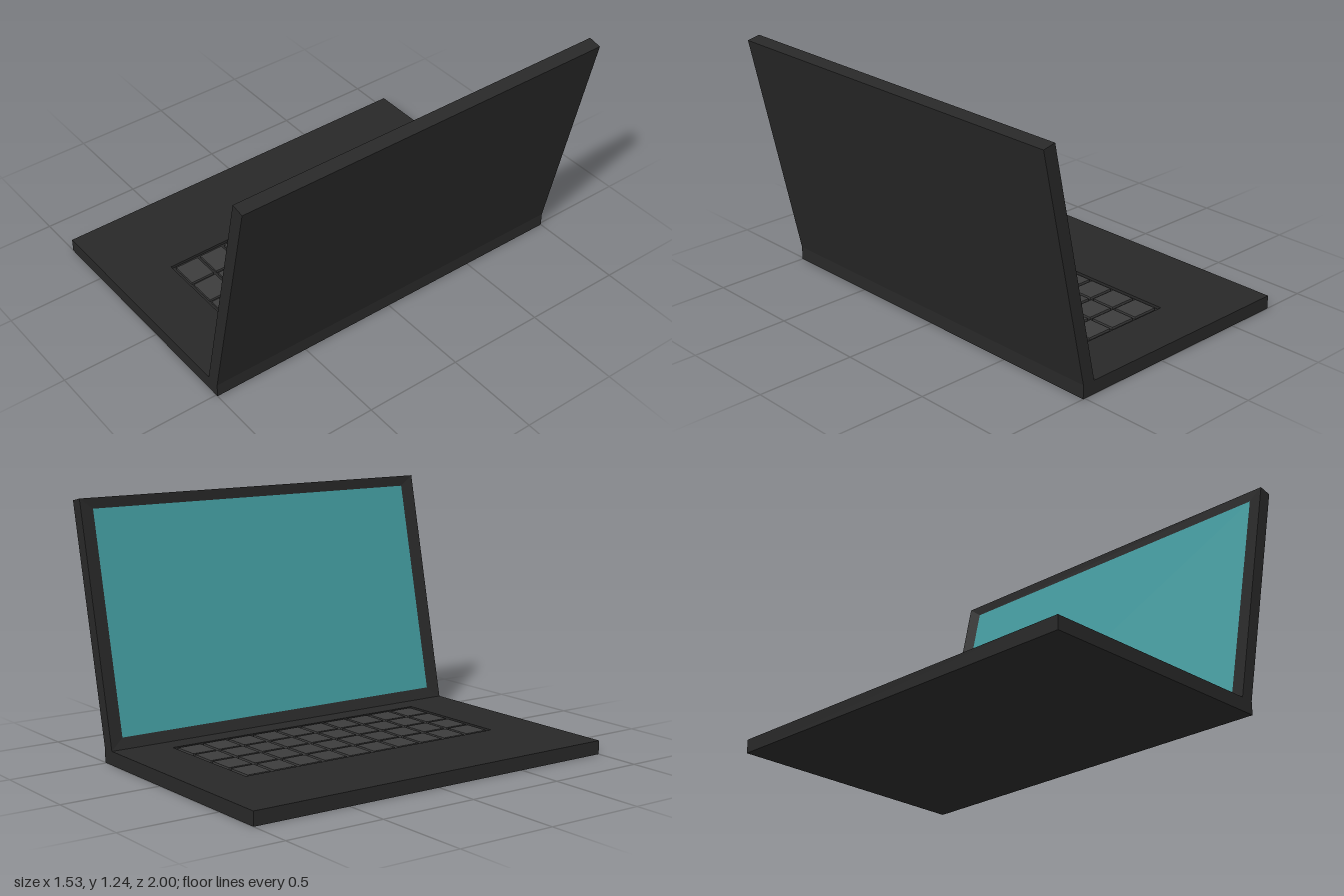
import * as THREE from 'three';

const paint = (color) => new THREE.MeshStandardMaterial({ color });

// Loft through four-cornered loops, with optional caps at the two ends
function loft(loops, capStart, capEnd) {
  const pos = [];
  const quad = (a, b, c, d) => [a, b, c, a, c, d].forEach((p) => pos.push(p.x, p.y, p.z));
  for (let k = 0; k + 1 < loops.length; k++) {
    const a = loops[k], b = loops[k + 1];
    for (let i = 0; i < 4; i++) {
      const j = (i + 1) % 4;
      quad(a[i], a[j], b[j], b[i]);
    }
  }
  if (capStart) quad(...[...loops[0]].reverse());
  if (capEnd) quad(...loops[loops.length - 1]);
  const g = new THREE.BufferGeometry();
  g.setAttribute('position', new THREE.Float32BufferAttribute(pos, 3));
  g.computeVertexNormals();
  return g;
}

// Horizontal rectangle at height y
const flatRect = (x0, x1, z0, z1, y) =>
  [[x0, z1], [x1, z1], [x1, z0], [x0, z0]].map(([x, z]) => new THREE.Vector3(x, y, z));

// Rectangle in the leaning lid: t runs bottom to top, w runs back to front
const BACK = [new THREE.Vector3(0.51, 0.068, 0), new THREE.Vector3(0.765, 1.227, 0)];
const FRONT = [new THREE.Vector3(0.443, 0.068, 0), new THREE.Vector3(0.7, 1.241, 0)];
function lidRect(halfZ, t0, t1, w) {
  return [[-halfZ, t0], [halfZ, t0], [halfZ, t1], [-halfZ, t1]].map(([z, t]) => {
    const p = BACK[0].clone().lerp(BACK[1], t);
    p.lerp(FRONT[0].clone().lerp(FRONT[1], t), w);
    p.z = z;
    return p;
  });
}

export function createModel() {
  const model = new THREE.Group();
  const body = paint(0x282828), keyMat = paint(0x3c3c3c), glass = paint(0x429a9e);
  const add = (name, geometry, material, parent = model) => {
    const m = new THREE.Mesh(geometry, material);
    m.name = name;
    parent.add(m);
    return m;
  };

  // Base slab with a shallow keyboard tray
  const tray = [-0.295, 0.337, -0.73, 0.72];
  add('base', loft([
    flatRect(-0.765, 0.51, -1, 1, 0),
    flatRect(-0.765, 0.51, -1, 1, 0.068),
    flatRect(...tray, 0.068),
    flatRect(...tray, 0.054),
  ], true, true), body);

  // Lid with a bezel sloping in to the screen
  const inner = lidRect(0.93, 0.045, 0.957, 0.85);
  add('lid', loft([lidRect(1, 0, 1, 0), lidRect(1, 0, 1, 1), inner], true, false), body);
  add('screen', loft([inner], false, true), glass);

  // Keys: four rows of ten
  const keyboard = new THREE.Group();
  keyboard.name = 'keyboard';
  model.add(keyboard);
  const keyGeo = new THREE.BoxGeometry(0.139, 0.012, 0.125);
  for (let row = 0; row < 4; row++) {
    for (let col = 0; col < 10; col++) {
      add('key', keyGeo, keyMat, keyboard)
        .position.set(-0.207 + row * 0.1543, 0.06, -0.646 + col * 0.1428);
    }
  }
  return model;
}
